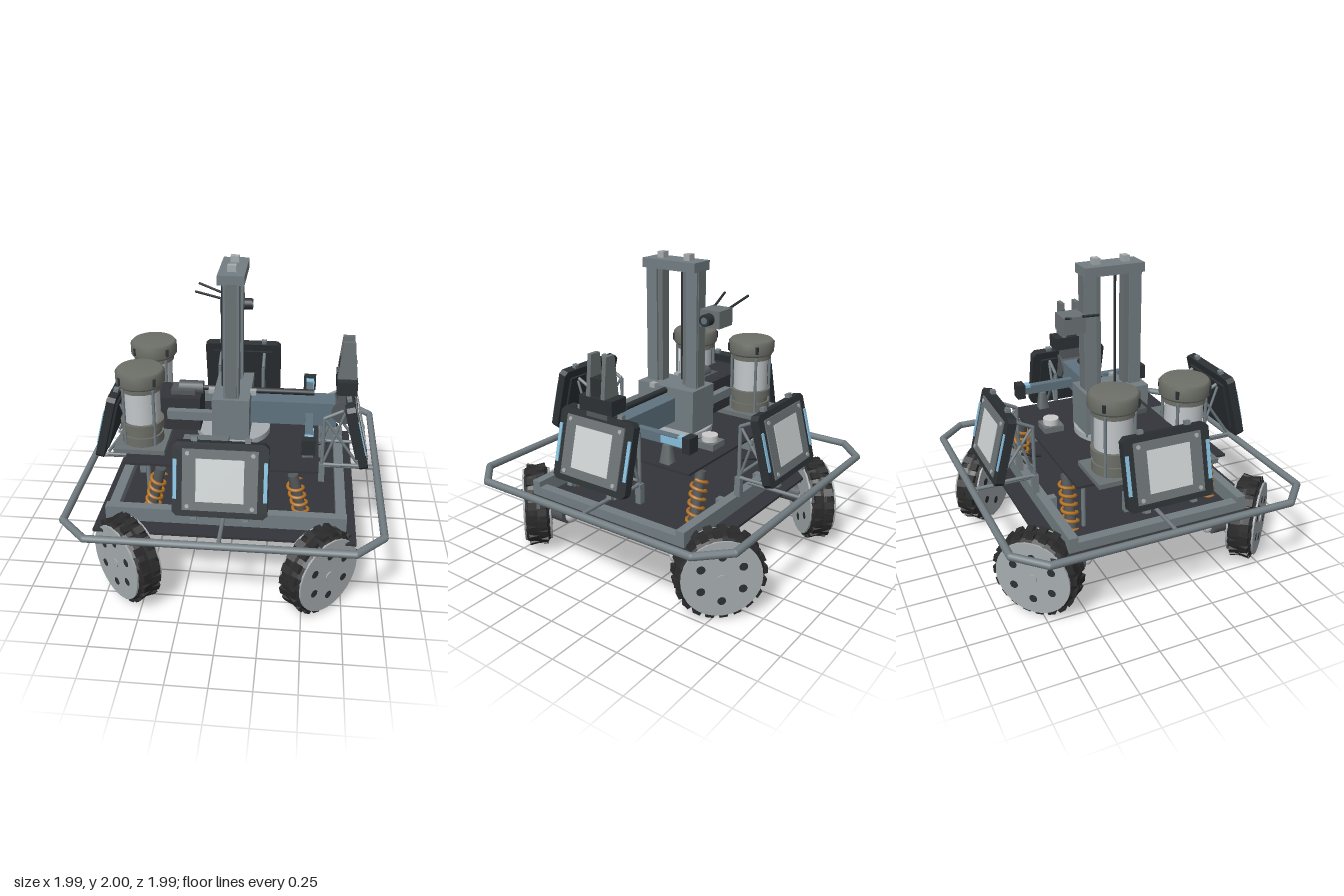
import * as THREE from 'three';

const mat = (color, flat = false, side = THREE.FrontSide) =>
  new THREE.MeshStandardMaterial({ color, flatShading: flat, side });
const M = {
  steel: mat(0x727d82), pale: mat(0xa6acaf), dark: mat(0x2c3134), deck: mat(0x34353a),
  tyre: mat(0x2b2b2b, true), frame: mat(0x6b7274), screen: mat(0xcdd2d2), blue: mat(0x86bfdd),
  arm: mat(0x60737f), olive: mat(0x6d6f68), glass: mat(0xc3c7ca), orange: mat(0xb87425),
  mid: mat(0x53585b), white: mat(0xdedede),
};
const V = (x, y, z) => new THREE.Vector3(x, y, z);
const UP = V(0, 1, 0);

function add(parent, name, geo, m, x = 0, y = 0, z = 0) {
  const mesh = new THREE.Mesh(geo, m);
  mesh.name = name;
  mesh.position.set(x, y, z);
  parent.add(mesh);
  return mesh;
}
const box = (p, n, m, w, h, d, x, y, z) => add(p, n, new THREE.BoxGeometry(w, h, d), m, x, y, z);
const cyl = (p, n, m, r, h, x, y, z, seg = 24, r2 = r) =>
  add(p, n, new THREE.CylinderGeometry(r, r2, h, seg), m, x, y, z);
// Round bar between two points
function bar(p, n, m, a, b, r, seg = 8) {
  const d = b.clone().sub(a), c = a.clone().add(b).multiplyScalar(0.5);
  const mesh = cyl(p, n, m, r, d.length(), c.x, c.y, c.z, seg);
  mesh.quaternion.setFromUnitVectors(UP, d.normalize());
  return mesh;
}
function group(p, name, x = 0, y = 0, z = 0) {
  const g = new THREE.Group();
  g.name = name;
  g.position.set(x, y, z);
  p.add(g);
  return g;
}

class Helix extends THREE.Curve {
  constructor(r, h, turns) { super(); Object.assign(this, { r, h, turns }); }
  getPoint(t, target = V(0, 0, 0)) {
    const a = t * this.turns * Math.PI * 2;
    return target.set(Math.cos(a) * this.r, (t - 0.5) * this.h, Math.sin(a) * this.r);
  }
}

// Wheel with its axle along local z
function wheel(p, x, z) {
  const g = group(p, 'wheel', x, 0.28, z);
  g.rotation.y = Math.atan2(Math.sign(x), Math.sign(z));
  const prof = [[0.2, -0.075], [0.245, -0.08], [0.262, -0.055], [0.27, -0.02], [0.27, 0.02],
    [0.262, 0.055], [0.245, 0.08], [0.2, 0.075]].map(q => new THREE.Vector2(...q));
  add(g, 'tyre', new THREE.LatheGeometry(prof, 20).rotateX(Math.PI / 2), M.tyre);
  for (let i = 0; i < 20; i++) for (const s of [-1, 1]) {
    const a = (i + s * 0.25) / 20 * Math.PI * 2;
    const lug = box(g, 'treadLug', M.tyre, 0.025, 0.05, 0.06, Math.cos(a) * 0.262, Math.sin(a) * 0.262, s * 0.033);
    lug.rotation.set(0, s * 0.18, a, 'ZYX');
  }
  for (const s of [-1, 1]) {
    cyl(g, 'wheelDisc', M.pale, 0.245, 0.02, 0, 0, s * 0.08, 32).rotation.x = Math.PI / 2;
    cyl(g, 'hub', M.pale, 0.03, 0.02, 0, 0, s * 0.087, 16).rotation.x = Math.PI / 2;
    for (let i = 0; i < 6; i++) {
      const a = (i + 0.5) / 6 * Math.PI * 2;
      cyl(g, 'discHole', M.dark, 0.026, 0.004, Math.cos(a) * 0.145, Math.sin(a) * 0.145, s * 0.0895, 14).rotation.x = Math.PI / 2;
    }
  }
}

// Drive motor and sprung strut beside a wheel
function strut(p, sx, sz) {
  const g = group(p, 'suspension');
  bar(g, 'motor', M.mid, V(sx * 0.59, 0.29, sz * 0.68), V(sx * 0.59, 0.29, sz * 0.46), 0.07, 20);
  const cap = add(g, 'motorCap', new THREE.SphereGeometry(0.057, 18, 12), M.white, sx * 0.59, 0.29, sz * 0.43);
  cap.scale.z = 0.65;
  const a = V(sx * 0.52, 0.33, sz * 0.485), b = V(sx * 0.415, 0.79, sz * 0.485);
  bar(g, 'damper', M.mid, a, b, 0.034, 12);
  const coil = add(g, 'spring', new THREE.TubeGeometry(new Helix(0.047, 0.38, 7), 120, 0.011, 6), M.orange,
    (a.x + b.x) / 2, 0.555, a.z);
  coil.quaternion.setFromUnitVectors(UP, b.clone().sub(a).normalize());
  bar(g, 'lowerLink', M.mid, a, V(sx * 0.59, 0.29, sz * 0.53), 0.03);
}

// Tilted display panel on a tubular stand, facing +z
function panel(p, turn) {
  const g = group(p, 'displayPanel');
  g.rotation.y = turn;
  const t = group(g, 'panelBody', 0, 0.935, 0.82);
  t.rotation.x = -0.25;
  const s = new THREE.Shape(), w = 0.28, h = 0.225, c = 0.025;
  [[-w + c, -h], [w - c, -h], [w, -h + c], [w, h - c], [w - c, h], [-w + c, h], [-w, h - c], [-w, -h + c]]
    .forEach(([x, y], i) => (i ? s.lineTo(x, y) : s.moveTo(x, y)));
  add(t, 'panelCase', new THREE.ExtrudeGeometry(s, { depth: 0.055, bevelEnabled: false }), M.dark, 0, 0, -0.035);
  box(t, 'panelBack', M.dark, 0.44, 0.34, 0.02, 0, 0, -0.04);
  box(t, 'screenFrame', M.frame, 0.44, 0.37, 0.012, 0, 0, 0.022);
  box(t, 'screen', M.screen, 0.28, 0.26, 0.012, 0, 0, 0.026);
  for (const x of [-1, 1]) {
    box(t, 'lightStrip', M.blue, 0.022, 0.24, 0.03, x * 0.264, 0, 0.012);
    for (const y of [-1, 1]) {
      cyl(t, 'screw', M.pale, 0.013, 0.01, x * 0.19, y * 0.16, 0.029, 10).rotation.x = Math.PI / 2;
      box(t, 'clip', M.steel, 0.035, 0.03, 0.03, x * 0.155, y * 0.235, -0.01);
    }
    const X = x * 0.16;
    const path = [[0.68, 0.84], [0.68, 0.6], [1.02, 0.6], [1.08, 0.72]];
    for (let i = 0; i < 3; i++)
      bar(g, 'standTube', M.steel, V(X, ...path[i]), V(X, ...path[i + 1]), 0.012);
    bar(g, 'standBrace', M.steel, V(X, 0.7, 0.83), V(X, 1.01, 0.61), 0.01);
    bar(g, 'standBrace', M.steel, V(X, 0.7, 0.61), V(X, 1.06, 0.73), 0.009);
    box(g, 'standFoot', M.steel, 0.04, 0.13, 0.04, X, 0.62, 0.6);
  }
  bar(g, 'standLink', M.dark, V(0, 0.72, 0.5), V(0, 0.76, 0.63), 0.01);
  bar(g, 'standCross', M.steel, V(-0.16, 0.7, 0.6), V(0.16, 0.7, 0.6), 0.01);
  bar(g, 'bumperSpoke', M.steel, V(0, 0.575, 0.58), V(0, 0.575, 0.97), 0.013);
}

// Sample canister with a lidded glass body
function canister(p, z) {
  const g = group(p, 'canister', -0.57, 0, z);
  box(g, 'canisterBase', M.frame, 0.33, 0.03, 0.33, 0, 0.845, 0);
  cyl(g, 'lowerCup', M.olive, 0.135, 0.06, 0, 0.89, 0, 32);
  cyl(g, 'lowerCup', M.olive, 0.122, 0.06, 0, 0.94, 0, 32);
  cyl(g, 'lowerRim', M.olive, 0.14, 0.05, 0, 0.985, 0, 32);
  cyl(g, 'glassBody', M.glass, 0.118, 0.24, 0, 1.12, 0, 32);
  cyl(g, 'neck', M.olive, 0.135, 0.035, 0, 1.245, 0, 32);
  const lid = [[0, 1.25], [0.145, 1.26], [0.156, 1.275], [0.156, 1.345], [0.14, 1.362], [0, 1.362]];
  add(g, 'lid', new THREE.LatheGeometry(lid.map(q => new THREE.Vector2(...q)), 32), M.olive);
  for (let i = 0; i < 4; i++) {
    const a = (i + 0.5) * Math.PI / 2, c = Math.cos(a), s = Math.sin(a);
    bar(g, 'guardRod', M.steel, V(c * 0.135, 0.86, s * 0.135), V(c * 0.135, 1.25, s * 0.135), 0.01);
    box(g, 'lidCatch', M.dark, 0.02, 0.05, 0.02, c * 0.152, 1.31, s * 0.152);
  }
}

export function createModel() {
  const root = new THREE.Group();
  root.name = 'rover';

  // Bumper ring
  const ring = [[0.8, 0.973], [0.973, 0.8], [0.973, -0.8], [0.8, -0.973],
    [-0.8, -0.973], [-0.973, -0.8], [-0.973, 0.8], [-0.8, 0.973]];
  ring.forEach(([x, z], i) => {
    const [x2, z2] = ring[(i + 1) % 8];
    bar(root, 'bumperTube', M.steel, V(x, 0.575, z), V(x2, 0.575, z2), 0.024, 10);
    add(root, 'bumperJoint', new THREE.SphereGeometry(0.024, 10, 8), M.steel, x, 0.575, z);
  });

  // Chassis
  box(root, 'basePlate', M.deck, 1.64, 0.016, 1.44, 0, 0.452, 0);
  for (const s of [-1, 1]) {
    box(root, 'crossBeam', M.steel, 1.52, 0.1, 0.06, 0, 0.508, s * 0.575);
    box(root, 'sideBeam', M.steel, 0.065, 0.065, 1.1, s * 0.727, 0.488, 0);
    for (const x of [-0.23, 0.23]) box(root, 'beamGusset', M.steel, 0.05, 0.08, 0.06, x, 0.5, s * 0.52);
    bar(root, 'deckPost', M.steel, V(-0.51, 0.46, s * 0.41), V(-0.51, 0.82, s * 0.41), 0.015);
    for (const t of [-1, 1]) {
      wheel(root, s * 0.6, t * 0.745);
      strut(root, s, t);
    }
    canister(root, s * 0.235);
  }
  for (let i = 0; i < 4; i++) panel(root, i * Math.PI / 2);
  box(root, 'upperDeck', M.deck, 1.22, 0.015, 1.01, -0.04, 0.82, 0);
  box(root, 'sensorPlate', M.dark, 0.235, 0.02, 0.16, 0.182, 0.245, 0);

  // Mast
  const mast = group(root, 'mast');
  cyl(mast, 'turntable', M.pale, 0.245, 0.04, 0, 0.847, 0, 40);
  box(mast, 'mastBase', M.steel, 0.24, 0.3, 0.44, 0, 1.0, 0);
  box(mast, 'mastCap', M.steel, 0.165, 0.06, 0.4, 0, 1.93, 0);
  for (const s of [-1, 1]) {
    box(mast, 'column', M.steel, 0.1, 1.05, 0.08, 0, 1.385, s * 0.155);
    box(mast, 'columnFlange', M.frame, 0.07, 0.75, 0.12, 0, 1.53, s * 0.14);
    box(mast, 'capLug', M.pale, 0.055, 0.04, 0.045, 0, 1.98, s * 0.1);
    box(mast, 'baseLug', M.pale, 0.04, 0.03, 0.04, s * 0.135, 1.15, 0.08);
    box(mast, 'baseRail', M.steel, 0.32, 0.06, 0.05, -0.26, 1.0, s * 0.145);
  }
  bar(mast, 'liftScrew', M.dark, V(-0.072, 1.14, 0), V(-0.072, 1.91, 0), 0.009);

  // Mast camera
  const cam = group(root, 'mastCamera', 0, 1.62, -0.285);
  box(cam, 'cameraBody', M.frame, 0.15, 0.11, 0.145, -0.035, 0, 0);
  box(cam, 'cameraBracket', M.steel, 0.05, 0.05, 0.1, -0.02, 0, 0.1);
  bar(cam, 'lens', M.dark, V(0.03, 0, 0), V(0.1, 0, 0), 0.038, 18);
  bar(cam, 'lensGlass', M.arm, V(0.1, 0, 0), V(0.104, 0, 0), 0.022, 16);
  for (const s of [-1, 1]) bar(cam, 'antenna', M.dark, V(-0.1, 0.05, s * 0.055), V(-0.27, 0.105, s * 0.088), 0.008);

  // Pump housing
  box(root, 'pumpHousing', M.deck, 0.48, 0.23, 0.24, -0.45, 0.985, 0);
  box(root, 'pumpBlock', M.mid, 0.16, 0.04, 0.13, -0.33, 1.11, 0);
  bar(root, 'pumpMotor', M.mid, V(-0.36, 1.13, 0), V(-0.2, 1.13, 0), 0.045, 16);
  bar(root, 'pumpShaft', M.dark, V(-0.2, 1.13, 0), V(0, 1.13, 0), 0.018);

  // Forward arm and tool head
  const arm = group(root, 'arm');
  box(arm, 'armBeam', M.arm, 0.58, 0.16, 0.16, 0.39, 1.005, 0);
  bar(arm, 'armRam', M.dark, V(0.08, 1.125, 0), V(0.53, 1.125, 0), 0.02, 12);
  bar(arm, 'wristJoint', M.mid, V(0.73, 1.03, -0.09), V(0.73, 1.03, 0.09), 0.085, 12);
  box(arm, 'wristBlock', M.mid, 0.11, 0.14, 0.16, 0.735, 1.11, 0);
  box(arm, 'toolHead', M.dark, 0.13, 0.09, 0.25, 0.735, 1.215, 0);
  box(arm, 'toolSensor', M.dark, 0.11, 0.11, 0.08, 0.735, 1.32, 0);
  const fin = new THREE.Shape([[-0.065, 0], [0.065, 0], [0.037, 0.26], [-0.037, 0.26]].map(q => new THREE.Vector2(...q)));
  const finGeo = new THREE.ExtrudeGeometry(fin, { depth: 0.028, bevelEnabled: false });
  for (const z of [-0.07, 0.042]) add(arm, 'toolFin', finGeo, M.frame, 0.735, 1.25, z);

  // Light bar across the deck
  const lamp = group(root, 'lightBar', 0.503, 0.985, 0);
  box(lamp, 'lampRail', M.arm, 0.05, 0.06, 0.9, 0, 0, 0);
  for (const s of [-1, 1]) {
    box(lamp, 'lampEnd', M.dark, 0.085, 0.1, 0.055, 0, 0, s * 0.465);
    box(lamp, 'lampTop', M.blue, 0.052, 0.02, 0.075, 0, 0.03, s * 0.43);
    box(lamp, 'lampFace', M.blue, 0.01, 0.045, 0.16, 0.025, 0, s * 0.35);
    cyl(lamp, 'lampStand', M.frame, 0.03, 0.12, 0, -0.1, s * 0.3, 4, 0.05).rotation.y = Math.PI / 4;
  }

  // Deck equipment
  box(root, 'controlBox', M.frame, 0.29, 0.09, 0.2, -0.148, 0.875, 0.37);
  for (const x of [-0.24, -0.16, -0.05]) box(root, 'controlPlug', M.pale, 0.03, 0.03, 0.03, x, 0.87, 0.48);
  box(root, 'beaconBase', M.frame, 0.135, 0.04, 0.135, 0.145, 0.85, -0.37);
  cyl(root, 'beacon', M.white, 0.052, 0.04, 0.145, 0.89, -0.37, 24);
  return root;
}
